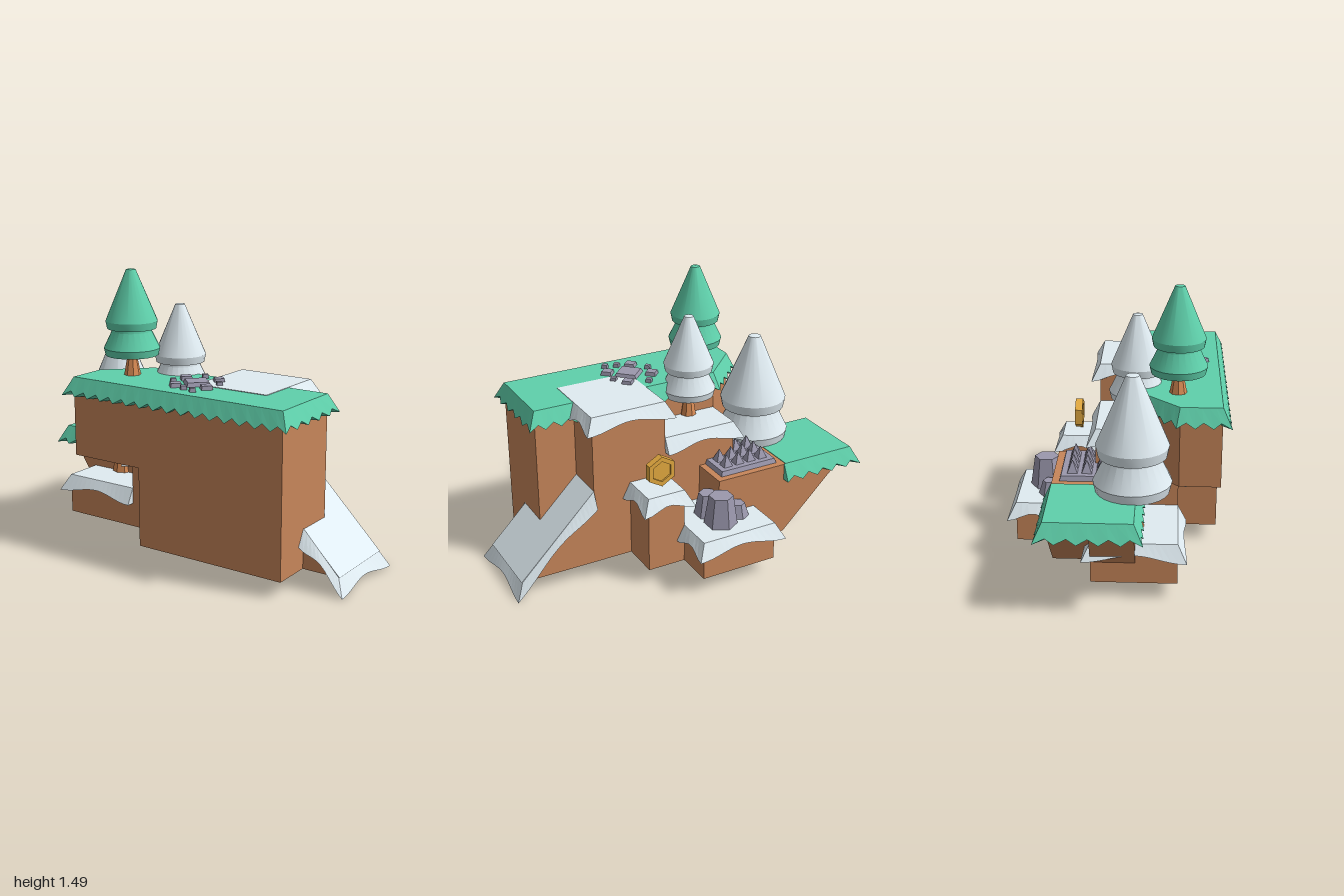
import * as THREE from 'three';
import { toCreasedNormals } from 'three/addons/utils/BufferGeometryUtils.js';

const paint = (color, flat = true) =>
  new THREE.MeshStandardMaterial({ color, flatShading: flat, side: THREE.DoubleSide });

export function createModel() {
  const root = new THREE.Group();
  const earth = paint(0xc8865a), grass = paint(0x5fd0ab), snow = paint(0xe0ecf2);
  const stone = paint(0x9b98ad), gold = paint(0xe5ab40), red = paint(0xb03545);
  const wood = paint(0xd98c55);
  const leaf = paint(0x5fd0ab, false), frost = paint(0xe0ecf2, false);

  function add(geo, mat, name, x = 0, y = 0, z = 0, parent = root) {
    const m = new THREE.Mesh(geo, mat);
    m.name = name;
    m.position.set(x, y, z);
    parent.add(m);
    return m;
  }
  const box = (name, mat, x0, x1, y0, y1, z0, z1) =>
    add(new THREE.BoxGeometry(x1 - x0, y1 - y0, z1 - z0), mat, name,
      (x0 + x1) / 2, (y0 + y1) / 2, (z0 + z1) / 2);

  // plan outline [x, z] raised from y0 to y1
  function slab(name, mat, pts, y0, y1) {
    const shape = new THREE.Shape(pts.map(([x, z]) => new THREE.Vector2(x, -z)));
    const geo = new THREE.ExtrudeGeometry(shape, { depth: y1 - y0, bevelEnabled: false });
    return add(geo.rotateX(-Math.PI / 2), mat, name, 0, y0, 0);
  }
  // side outline [x, y] stretched from z0 to z1
  function profile(name, mat, pts, z0, z1) {
    const shape = new THREE.Shape(pts.map(([x, y]) => new THREE.Vector2(x, y)));
    const geo = new THREE.ExtrudeGeometry(shape, { depth: z1 - z0, bevelEnabled: false });
    return add(geo, mat, name, 0, 0, z0);
  }

  // flared skirt of triangular section along an edge; outline runs with the outside on its right
  function skirt(name, mat, pts, zigzag) {
    const P = pts.map(p => new THREE.Vector3(...p));
    const N = P.slice(1).map((p, i) => {
      const d = p.clone().sub(P[i]);
      return new THREE.Vector3(-d.z, 0, d.x).normalize();
    });
    const mitre = i => {
      const a = N[Math.max(i - 1, 0)], b = N[Math.min(i, N.length - 1)];
      return a.clone().add(b).divideScalar(1 + a.dot(b));
    };
    const rows = [];
    N.forEach((n, i) => {
      const len = P[i].distanceTo(P[i + 1]);
      const count = zigzag ? 2 * Math.max(1, Math.round(len / 0.08)) : Math.max(6, Math.round(len / 0.03));
      for (let k = i ? 1 : 0; k <= count; k++) {
        const t = k / count, wave = Math.cos(t * Math.PI * 2 * Math.max(1, Math.round(len / 0.4)));
        const drop = zigzag ? (k % 2 ? 0.068 : 0.095) : 0.068 + 0.018 * wave;
        const reach = zigzag ? (k % 2 ? 0.034 : 0.046) : 0.038 + 0.007 * wave;
        const top = P[i].clone().lerp(P[i + 1], t);
        const inner = top.clone().setY(top.y - drop);
        const out = inner.clone().addScaledVector(mitre(i).lerp(mitre(i + 1), t), reach);
        rows.push([top, out, inner]);
      }
    });
    const v = [];
    const tri = (...q) => q.forEach(p => v.push(p.x, p.y, p.z));
    for (let i = 0; i + 1 < rows.length; i++) {
      const [a, b, c] = rows[i], [d, e, f] = rows[i + 1];
      tri(a, b, e); tri(a, e, d);
      tri(b, c, f); tri(b, f, e);
    }
    tri(rows[0][0], rows[0][2], rows[0][1]);
    tri(...rows[rows.length - 1]);
    const geo = new THREE.BufferGeometry();
    geo.setAttribute('position', new THREE.Float32BufferAttribute(v, 3));
    geo.computeVertexNormals();
    add(geo, mat, name);
  }
  const level = (y, pts) => pts.map(([x, z]) => [x, y, z]);

  // earth body
  const L0 = 0.09, L1 = 0.3, L2 = 0.51, L3 = 0.72, L4 = 0.93;
  const plateau = [[-0.52, 0.53], [0.75, 0.53], [0.75, 0.11], [-0.31, 0.11], [-0.52, 0.32]];
  slab('upperCliff', earth, plateau, L2, L4);
  box('lowerCliff', earth, -0.1, 0.75, L0, L2, 0.11, 0.53);
  box('backCliff', earth, 0.11, 0.53, L0, L4, -0.11, 0.32);
  box('treeTerrace', earth, -0.31, 0.11, L0, L3, -0.11, 0.11);
  box('spikeTerrace', earth, -0.52, -0.1, L0, L2, -0.32, 0.11);
  box('frontLedge', earth, -0.31, -0.1, L0, L2, 0.11, 0.32);
  box('lowLedge', earth, -0.75, -0.31, L0, L1, -0.11, 0.32);
  box('rockTerrace', earth, -0.32, 0.11, L0, L1, -0.53, -0.32);
  box('rockTerraceInner', earth, -0.1, 0.11, L0, L1, -0.32, -0.11);
  box('coinTerrace', earth, 0.11, 0.32, L0, L2, -0.32, -0.11);
  profile('rampBody', earth, [[0.53, L0], [0.95, L0], [0.53, L2]], -0.11, 0.32);
  profile('overhangBack', earth, [[-0.52, L0], [-0.52, L2], [-0.95, L2]], -0.32, -0.11);
  profile('overhangFront', earth, [[-0.52, 0.2], [-0.52, L2], [-0.95, L2], [-0.75, 0.2]], -0.11, 0.11);

  // grass tops and toothed edges
  slab('plateauGrass', grass, plateau, L4 - 0.01, L4 + 0.003);
  skirt('plateauGrassEdge', grass, level(L4 + 0.003, [[0.53, 0.11], [0.75, 0.11], [0.75, 0.53],
    [-0.52, 0.53], [-0.52, 0.32], [-0.31, 0.11], [0.11, 0.11]].reverse()), true);
  box('sideGrass', grass, -0.95, -0.52, L2 - 0.01, L2 + 0.003, -0.32, 0.11);
  skirt('sideGrassEdge', grass, level(L2 + 0.003,
    [[-0.51, -0.32], [-0.95, -0.32], [-0.95, 0.11], [-0.5, 0.11]]), true);

  // snow tops: [name, y, x0, x1, z0, z1, edge outline]
  const drifts = [
    ['backSnow', L4, 0.11, 0.53, -0.11, 0.32, [[0.53, 0.11], [0.53, -0.11], [0.11, -0.11], [0.11, 0.11]]],
    ['treeSnow', L3, -0.31, 0.11, -0.11, 0.11, [[0.11, -0.11], [-0.31, -0.11], [-0.31, 0.11]]],
    ['ledgeSnow', L2, -0.31, -0.1, 0.11, 0.32, [[-0.31, 0.11], [-0.31, 0.32], [-0.1, 0.32]]],
    ['lowSnow', L1, -0.75, -0.31, -0.11, 0.32, [[-0.53, -0.11], [-0.75, -0.11], [-0.75, 0.32], [-0.31, 0.32]]],
    ['rockSnow', L1, -0.32, 0.11, -0.53, -0.32, [[0.11, -0.32], [0.11, -0.53], [-0.32, -0.53], [-0.32, -0.32]]],
    ['coinSnow', L2, 0.11, 0.32, -0.32, -0.11, [[0.32, -0.11], [0.32, -0.32], [0.11, -0.32], [0.11, -0.11]]],
  ];
  for (const [name, y, x0, x1, z0, z1, edge] of drifts) {
    box(name, snow, x0, x1, y - 0.01, y + 0.006, z0, z1);
    skirt(name + 'Edge', snow, level(y + 0.006, edge), false);
  }
  box('rockSnowInner', snow, -0.1, 0.11, L1 - 0.01, L1 + 0.006, -0.32, -0.11);

  // snowy ramp
  profile('rampSnow', snow, [[0.53, L2 - 0.01], [0.53, L2 + 0.006], [0.955, L0], [0.94, L0]], -0.11, 0.32);
  skirt('rampSnowEdge', snow, [[0.75, 0.3, 0.32], [0.95, L0, 0.32], [0.95, L0, -0.11], [0.53, L2 + 0.006, -0.11]], false);

  // trees
  const foliage = [[0, 0.11], [0.138, 0.11], [0.147, 0.148], [0.105, 0.235], [0.105, 0.25], [0.128, 0.25],
    [0.136, 0.29], [0.025, 0.555], [0, 0.56]].map(p => new THREE.Vector2(...p));
  const crown = toCreasedNormals(new THREE.LatheGeometry(foliage, 24), 0.5);
  function tree(name, x, base, z, s, mat, ground) {
    const g = new THREE.Group();
    g.name = name;
    g.position.set(x, 0, z);
    root.add(g);
    add(crown, mat, 'foliage', 0, base, 0, g).scale.setScalar(s);
    const h = base + 0.13 * s - ground;
    add(new THREE.CylinderGeometry(0.02 * s, 0.045 * s, h, 8), wood, 'trunk', 0, ground + h / 2, 0, g);
  }
  tree('greenTree', -0.305, L4, 0.31, 1, leaf, L4);
  tree('smallSnowTree', -0.147, 0.738, 0.1, 1, frost, L3);
  tree('largeSnowTree', -0.56, 0.36, 0.09, 1.35, frost, L1);

  // paving stones: [x, z, radius]
  const paving = [[0.11, 0.31, 0.09], [0, 0.25, 0.043], [0.17, 0.2, 0.04], [0.21, 0.37, 0.043], [0.05, 0.41, 0.043],
    [0.06, 0.165, 0.023], [0.22, 0.27, 0.023], [-0.02, 0.335, 0.022], [0.12, 0.44, 0.023], [0.185, 0.455, 0.023]];
  for (const [x, z, r] of paving)
    add(new THREE.CylinderGeometry(r * 0.85, r, 0.026, 4), stone, 'pavingStone', x, L4 + 0.011, z);

  // rocks: [x, z, top radius, bottom radius, height]
  for (const [x, z, a, b, h] of [[-0.07, -0.39, 0.065, 0.09, 0.17], [-0.06, -0.27, 0.05, 0.075, 0.13], [-0.19, -0.36, 0.04, 0.065, 0.08]])
    add(new THREE.CylinderGeometry(a, b, h, 6), stone, 'rock', x, L1 + h / 2, z);

  // spike trap
  const plate = new THREE.CylinderGeometry(0.165 * Math.SQRT2, 0.173 * Math.SQRT2, 0.026, 4).rotateY(Math.PI / 4);
  add(plate, stone, 'spikePlate', -0.31, L2 + 0.013, -0.11);
  const spike = new THREE.ConeGeometry(0.038, 0.068, 4).rotateY(Math.PI / 4);
  for (let i = 0; i < 4; i++)
    for (let j = 0; j < 4; j++)
      add(spike, stone, 'spike', -0.31 + (i - 1.5) * 0.072, L2 + 0.058, -0.11 + (j - 1.5) * 0.073);

  // hexagonal coin
  const hexagon = r => Array.from({ length: 6 }, (_, i) =>
    new THREE.Vector2(r * Math.sin(i * Math.PI / 3), r * Math.cos(i * Math.PI / 3)));
  const rim = new THREE.Shape(hexagon(0.085));
  rim.holes.push(new THREE.Path(hexagon(0.058)));
  add(new THREE.ExtrudeGeometry(rim, { depth: 0.04, bevelEnabled: false }), gold, 'coinRim', 0.205, 0.615, -0.253);
  add(new THREE.ExtrudeGeometry(new THREE.Shape(hexagon(0.06)), { depth: 0.02, bevelEnabled: false }),
    gold, 'coinCentre', 0.205, 0.615, -0.243);

  // red knob on the back wall
  add(new THREE.SphereGeometry(0.035, 10, 8), red, 'redKnob', 0.05, 0.36, -0.11);

  return root;
}
